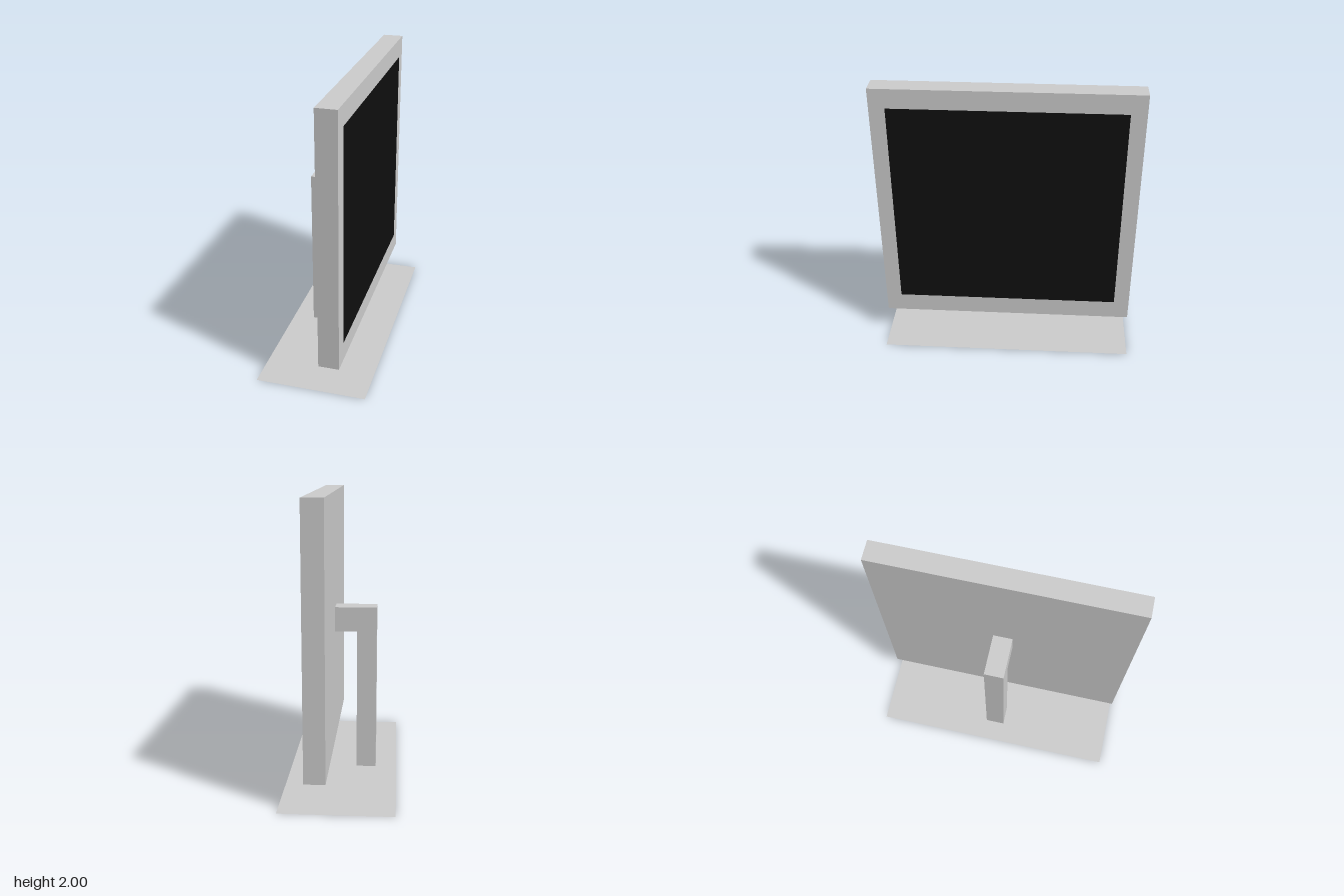
import * as THREE from 'three';

const grey = new THREE.MeshStandardMaterial({ color: 0xcccccc, flatShading: true });
const greyThin = new THREE.MeshStandardMaterial({ color: 0xcccccc, side: THREE.DoubleSide });
const black = new THREE.MeshStandardMaterial({ color: 0x0f0f0f });

// Box given by its lower and upper corners
function box(name, [x0, y0, z0], [x1, y1, z1]) {
  const mesh = new THREE.Mesh(new THREE.BoxGeometry(x1 - x0, y1 - y0, z1 - z0), grey);
  mesh.position.set((x0 + x1) / 2, (y0 + y1) / 2, (z0 + z1) / 2);
  mesh.name = name;
  return mesh;
}

export function createModel() {
  const group = new THREE.Group();
  group.name = 'monitor';

  // Display housing, facing +x
  group.add(box('housing', [0.063, 0.205, -0.898], [0.205, 2, 0.898]));

  // Black screen lying on the housing face
  const screen = new THREE.Mesh(new THREE.PlaneGeometry(1.58, 1.52), black);
  screen.name = 'screen';
  screen.rotation.y = Math.PI / 2;
  screen.position.set(0.207, 1.105, 0);
  group.add(screen);

  // Stand: upright post and the arm that reaches to the housing
  group.add(box('standPost', [-0.233, 0, -0.077], [-0.093, 1.015, 0.063]));
  group.add(box('standArm', [-0.233, 1.015, -0.077], [0.063, 1.19, 0.063]));

  // Paper-thin base plate, seen from both sides
  const base = new THREE.Mesh(new THREE.PlaneGeometry(0.766, 1.796), greyThin);
  base.name = 'basePlate';
  base.rotation.x = -Math.PI / 2;
  group.add(base);

  return group;
}
